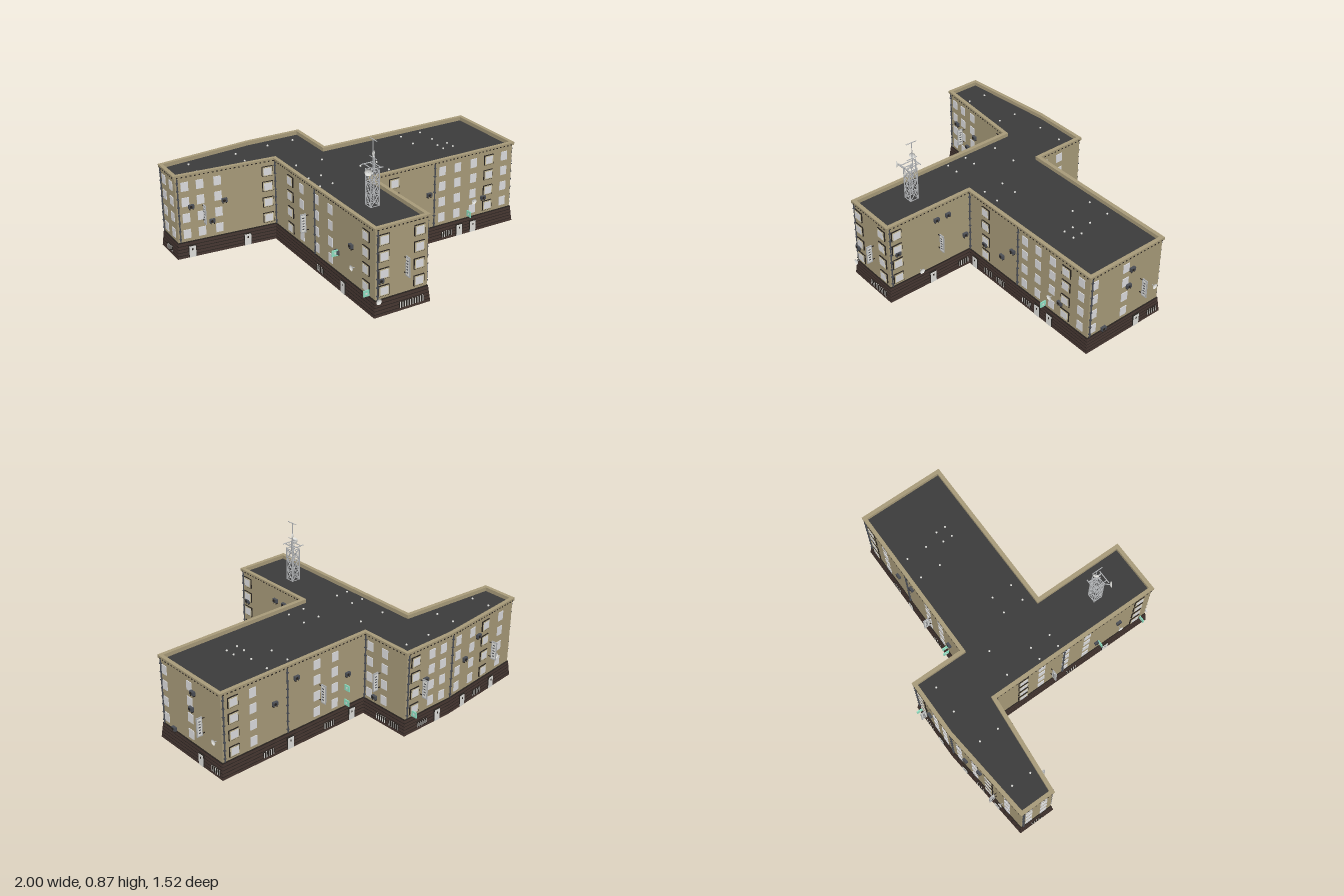
import * as THREE from 'three';
import { mergeGeometries } from 'three/addons/utils/BufferGeometryUtils.js';

const mat = (name, color) => new THREE.MeshStandardMaterial({ name, color, side: THREE.DoubleSide });

// Footprint corners [x, z], running left to right as seen from outside
const PLAN = [[-0.38, 0.705], [-0.055, 0.705], [-0.055, 0.14], [0.945, 0.14], [0.945, -0.385], [-0.055, -0.385],
  [-0.055, -0.71], [-0.4, -0.71], [-0.985, -0.65], [-0.985, -0.445], [-0.38, -0.395]];
const N = PLAN.length;

// Footprint grown outward by d with mitred corners
function offset(d) {
  const normal = (s, e) => new THREE.Vector2(s[1] - e[1], e[0] - s[0]).normalize();
  return PLAN.map((p, i) => {
    const n1 = normal(PLAN[(i + N - 1) % N], p), n2 = normal(p, PLAN[(i + 1) % N]);
    const k = d / (1 + n1.dot(n2));
    return [p[0] + (n1.x + n2.x) * k, p[1] + (n1.y + n2.y) * k];
  });
}

// Strip of quads around the footprint between two offsets and heights
function band(d0, y0, d1, y1) {
  const lo = offset(d0), hi = offset(d1), v = [];
  for (let i = 0; i < N; i++) {
    const j = (i + 1) % N;
    const a = [lo[i][0], y0, lo[i][1]], b = [lo[j][0], y0, lo[j][1]];
    const c = [hi[j][0], y1, hi[j][1]], d = [hi[i][0], y1, hi[i][1]];
    v.push(...a, ...b, ...c, ...a, ...c, ...d);
  }
  const g = new THREE.BufferGeometry();
  g.setAttribute('position', new THREE.Float32BufferAttribute(v, 3));
  g.computeVertexNormals();
  return g;
}

const box = (w, h, d, x, y, z) => new THREE.BoxGeometry(w, h, d).translate(x, y, z);

// Thin round bar between two points
function bar(a, b, r) {
  const p = new THREE.Vector3(...a), q = new THREE.Vector3(...b), dir = q.clone().sub(p);
  const g = new THREE.CylinderGeometry(r, r, dir.length(), 16);
  g.applyQuaternion(new THREE.Quaternion().setFromUnitVectors(new THREE.Vector3(0, 1, 0), dir.normalize()));
  return g.translate(...p.add(q).multiplyScalar(0.5).toArray());
}

// Shallow dish whose hollow side faces +z
const dish = (r, x, y, z) => new THREE.SphereGeometry(r * 1.3, 20, 5, 0, Math.PI * 2, 0, 0.88)
  .rotateX(-Math.PI / 2).translate(x, y, z + r * 1.3);

// Fittings of each wall, by world position along its main axis; air units as [position, height]
const WALLS = [
  { framed: [-0.33, -0.11], grille: [-0.2, -0.12], sign: [-0.2], unit: [[-0.35, 0.21]] },
  { framed: [0.65], door: [0.42], grille: [0.2], sign: [0.365], unit: [[0.38, 0.42], [0.3, 0.42], [0.65, 0.315], [0.18, 0.22]] },
  { framed: [0.1, 0.77], plain: [0.435, 0.545, 0.66, 0.885], door: [0.01, 0.56, 0.66], grille: [0.13, 0.24, 0.47],
    unit: [[0.1, 0.22], [0.25, 0.225], [0.34, 0.315], [0.735, 0.205]] },
  { plain: [0.105, -0.12], door: [-0.215], grille: [-0.34], sign: [-0.24], unit: [[-0.16, 0.42], [-0.14, 0.315], [0.03, 0.11]] },
  { framed: [0.87], plain: [0.74, 0.3, 0.17], door: [0.5, 0.05], grille: [0.65, 0.22], sign: [0.28], unit: [[0.6, 0.32], [0.45, 0.42], [0.08, 0.3]] },
  { plain: [-0.43, -0.545], grille: [-0.54, -0.64], sign: [-0.51], unit: [[-0.48, 0.14]] },
  { framed: [-0.12], plain: [-0.25, -0.34], door: [-0.3], grille: [-0.18], sign: [-0.17], unit: [[-0.2, 0.3]] },
  { framed: [-0.72], plain: [-0.47, -0.6, -0.87], door: [-0.52, -0.8], grille: [-0.66], sign: [-0.78], unit: [[-0.53, 0.3], [-0.65, 0.4]] },
  { plain: [-0.6, -0.5], grille: [-0.55] },
  { framed: [-0.43], plain: [-0.93, -0.84, -0.735], door: [-0.91, -0.57], sign: [-0.83], unit: [[-0.9, 0.315], [-0.7, 0.315], [-0.78, 0.2]] },
  { framed: [0.62, -0.2], plain: [0.25, 0.1, -0.07], door: [0.4], grille: [0.15], sign: [0], unit: [[0.48, 0.32], [0.33, 0.22]] },
];

export function createModel() {
  const M = {
    wall: mat('wallTan', 0xa79a79), roof: mat('roofGrey', 0x3b3b3b), plinth: mat('plinthBrown', 0x43342f),
    dark: mat('darkTrim', 0x28231f), glass: mat('paleGlass', 0xdcdcde), cream: mat('frameCream', 0xc3b896),
    pipe: mat('pipeGrey', 0x4a4d54), teal: mat('signTeal', 0x8ee0c2), white: mat('paleMetal', 0xdededa),
    steel: mat('steelGrey', 0xb0b2b4),
  };
  const parts = new Map();
  // Collects geometry under a part name; each part becomes one mesh
  const add = (name, m, g, matrix) => {
    const flat = g.index ? g.toNonIndexed() : g;
    flat.deleteAttribute('uv');
    if (matrix) flat.applyMatrix4(matrix);
    if (!parts.has(name)) parts.set(name, { m, list: [] });
    parts.get(name).list.push(flat);
  };

  // Shell: walls, boarded plinth, cornice, parapet, roof
  add('walls', M.wall, band(0, 0.09, 0, 0.5));
  for (let i = 0; i < 5; i++) {
    const y = i * 0.019, d = 0.015 - i * 0.002;
    add('plinthBoards', M.plinth, band(d, y, d - 0.002, y + 0.015));
    add('plinthGaps', M.dark, band(d - 0.002, y + 0.015, d - 0.002, y + 0.019));
  }
  add('plinthCap', M.dark, band(0.005, 0.095, 0, 0.097));
  add('corniceSoffit', M.wall, band(0, 0.495, 0.009, 0.499));
  add('parapet', M.wall, band(0.009, 0.499, 0.009, 0.516));
  add('parapet', M.wall, band(0.009, 0.516, -0.014, 0.516));
  add('parapet', M.wall, band(-0.014, 0.516, -0.014, 0.49));
  const shape = new THREE.Shape(offset(-0.013).map(([x, z]) => new THREE.Vector2(x, -z)));
  add('roof', M.roof, new THREE.ShapeGeometry(shape).rotateX(-Math.PI / 2).translate(0, 0.493, 0));

  // Wall fittings, in wall space: x along the wall, z outward
  const ROWS = [0.145, 0.245, 0.345, 0.44];
  const fit = {
    plain: (x, m) => ROWS.forEach(y => add('plainWindows', M.glass, box(0.044, 0.055, 0.008, x, y, 0), m)),
    framed: (x, m) => ROWS.forEach(y => {
      add('windowSurrounds', M.dark, box(0.066, 0.062, 0.007, x, y, 0.004), m);
      add('windowFrames', M.cream, box(0.06, 0.056, 0.009, x, y, 0.005), m);
      add('framedWindows', M.glass, box(0.048, 0.044, 0.022, x, y, 0), m);
    }),
    door: (x, m) => {
      add('doorFrames', M.dark, box(0.046, 0.073, 0.016, x, 0.0365, 0.008), m);
      add('doors', M.white, box(0.04, 0.069, 0.018, x, 0.035, 0.009), m);
      add('doorWindows', M.dark, box(0.008, 0.012, 0.019, x, 0.05, 0.009), m);
    },
    grille: (x, m) => {
      add('basementOpenings', M.dark, box(0.075, 0.034, 0.012, x, 0.033, 0.009), m);
      for (let i = -2; i <= 2; i++) add('basementBars', M.white, box(0.004, 0.034, 0.014, x + i * 0.016, 0.033, 0.009), m);
    },
    pipe: (x, m) => {
      add('drainpipes', M.pipe, bar([x, 0.1, 0.006], [x, 0.495, 0.006], 0.004), m);
      for (let y = 0.12; y < 0.5; y += 0.05) add('pipeBrackets', M.pipe, box(0.012, 0.006, 0.011, x, y, 0.0055), m);
    },
    unit: (x, m, y) => {
      add('airUnits', M.pipe, box(0.032, 0.022, 0.016, x, y, 0.011), m);
      add('airUnitFans', M.dark, new THREE.CylinderGeometry(0.008, 0.008, 0.002, 16).rotateX(Math.PI / 2).translate(x - 0.004, y, 0.0195), m);
      for (const s of [-1, 1]) add('airUnitBrackets', M.dark, box(0.003, 0.01, 0.016, x + s * 0.01, y - 0.015, 0.0085), m);
    },
    dish: (x, m, y) => {
      add('wallDishes', M.white, dish(0.017, x, y, 0.014), m);
      add('dishArms', M.steel, bar([x, y, 0], [x, y, 0.016], 0.002), m);
    },
    // Tall sign standing out from the wall
    sign: (x, m) => {
      add('signBoards', M.steel, box(0.006, 0.115, 0.036, x, 0.26, 0.034), m);
      add('signPanels', M.white, box(0.008, 0.1, 0.026, x, 0.26, 0.034), m);
      for (let i = -2; i <= 2; i++) add('signStripes', M.pipe, box(0.009, 0.006, 0.014, x, 0.26 + i * 0.017, 0.034), m);
      for (const s of [-1, 1]) add('signArms', M.dark, box(0.004, 0.004, 0.04, x, 0.26 + s * 0.045, 0.02), m);
    },
    smallSign: (x, m, y) => {
      add('smallSigns', M.teal, box(0.006, 0.036, 0.038, x, y, 0.027), m);
      add('smallSignPanels', M.white, box(0.008, 0.011, 0.011, x, y, 0.027), m);
    },
  };

  const places = WALLS.map((fittings, i) => {
    const a = PLAN[i], b = PLAN[(i + 1) % N], dx = b[0] - a[0], dz = b[1] - a[1], len = Math.hypot(dx, dz);
    const m = new THREE.Matrix4().makeRotationY(Math.atan2(-dz, dx)).setPosition(a[0], 0, a[1]);
    const k = Math.abs(dx) > Math.abs(dz) ? 0 : 1;
    const along = c => (c - a[k]) / (b[k] - a[k]) * len;
    for (const [kind, list] of Object.entries(fittings)) {
      for (const item of list) {
        const [c, y] = [item].flat();
        fit[kind](along(c), m, y);
      }
    }
    // Drainpipes beside each corner, and one midway on the longest walls
    fit.pipe(0.012, m);
    if (len > 0.9) fit.pipe(0.435 * len, m);
    // Cornice blocks
    const blocks = Math.round(len / 0.026);
    for (let j = 0; j < blocks; j++) add('corniceBlocks', M.dark, box(0.01, 0.006, 0.003, (j + 0.5) * len / blocks, 0.502, 0.009), m);
    return { m, along };
  });

  // Dishes and small signs: wall index, position, height
  const attach = (kind, wall, c, y) => fit[kind](places[wall].along(c), places[wall].m, y);
  attach('dish', 0, -0.37, 0.095);
  attach('dish', 1, 0.5, 0.12);
  attach('dish', 2, 0.66, 0.2);
  attach('dish', 3, -0.34, 0.21);
  attach('dish', 7, -0.83, 0.2);
  attach('dish', 10, 0.5, 0.2);
  attach('smallSign', 2, 0.62, 0.13);
  attach('smallSign', 6, -0.1, 0.125);
  attach('smallSign', 10, 0.34, 0.22);
  attach('smallSign', 10, 0.66, 0.125);
  for (const y of [0.13, 0.225]) attach('smallSign', 4, 0.1, y);

  // Small domed roof vents, at the corners of rectangles [x0, x1, z0, z1]
  for (const [x0, x1, z0, z1] of [[0.56, 0.63, -0.09, -0.03], [0.45, 0.59, -0.32, -0.19], [0, 0.11, -0.06, 0.07],
    [-0.34, -0.26, -0.06, 0.07], [-0.83, -0.53, -0.6, -0.48], [-0.31, -0.14, -0.62, -0.26]]) {
    for (const x of [x0, x1]) for (const z of [z0, z1]) {
      add('roofVents', M.white, new THREE.SphereGeometry(0.006, 16, 10).translate(x, 0.497, z));
    }
  }

  // Lattice tower: legs, rings and crossed braces
  const TX = -0.22, TZ = 0.42, H = 0.026;
  const corner = (i, y) => [TX + H * [-1, 1, 1, -1][i % 4], y, TZ + H * [-1, -1, 1, 1][i % 4]];
  const LEVELS = [0.493, 0.56, 0.628, 0.695];
  for (let i = 0; i < 4; i++) {
    add('towerLegs', M.steel, bar(corner(i, 0.493), corner(i, 0.7), 0.004));
    LEVELS.forEach((y, l) => {
      add('towerRings', M.steel, bar(corner(i, y), corner(i + 1, y), 0.0025));
      if (l === 3) return;
      add('towerBraces', M.steel, bar(corner(i, y), corner(i + 1, LEVELS[l + 1]), 0.0025));
      add('towerBraces', M.steel, bar(corner(i + 1, y), corner(i, LEVELS[l + 1]), 0.0025));
    });
  }
  // Mast, aerials and dishes
  add('mast', M.steel, bar([-0.21, 0.69, 0.41], [-0.21, 0.865, 0.41], 0.0025));
  add('mast', M.steel, bar([-0.195, 0.69, 0.4], [-0.195, 0.76, 0.4], 0.004));
  for (const y of [0.72, 0.76, 0.863]) add('aerialBars', M.steel, bar([-0.21, y, 0.378], [-0.21, y, 0.447], 0.0025));
  for (const z of [0.376, 0.464]) add('aerialBars', M.steel, bar([-0.265, 0.72, z], [-0.18, 0.72, z], 0.003));
  for (const x of [-0.245, -0.195]) add('aerialBars', M.steel, bar([x, 0.72, 0.376], [x, 0.72, 0.464], 0.003));
  add('dishBracket', M.steel, bar([-0.245, 0.69, 0.445], [-0.272, 0.71, 0.465], 0.003));
  add('towerDishes', M.white, dish(0.02, 0, 0, 0).rotateY(-0.6).translate(-0.272, 0.712, 0.465));
  add('towerDishes', M.white, dish(0.018, 0, 0, 0).rotateY(0.7).translate(-0.212, 0.782, 0.405));

  const group = new THREE.Group();
  group.name = 'building';
  for (const [name, { m, list }] of parts) {
    const mesh = new THREE.Mesh(mergeGeometries(list), m);
    mesh.name = name;
    group.add(mesh);
  }
  return group;
}
